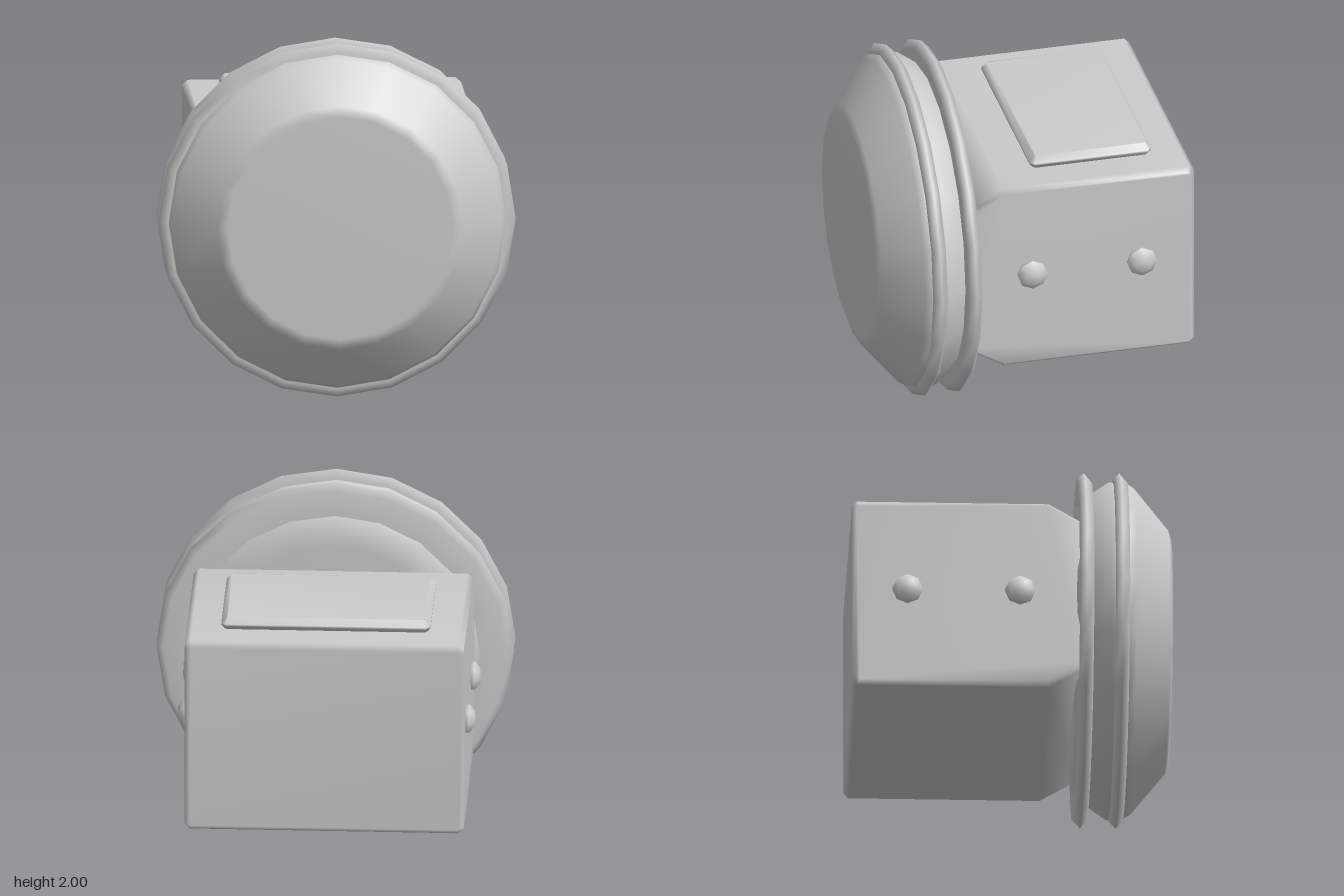
import * as THREE from 'three';
import { mergeVertices } from 'three/addons/utils/BufferGeometryUtils.js';

const SIDES = 20;
const CENTRE_Y = 1.0;

// Shares vertices so the narrow bevels shade softly into the large faces
function soften(geometry) {
  geometry.deleteAttribute('uv');
  geometry.deleteAttribute('normal');
  const merged = mergeVertices(geometry, 1e-4);
  merged.computeVertexNormals();
  return merged;
}

// Lathe from [radius, height] pairs
function lathe(points, sides) {
  return new THREE.LatheGeometry(points.map(([r, h]) => new THREE.Vector2(r, h)), sides);
}

// Extrusion with a single bevel that stays inside the given outline
function bevelled(points, depth, size, thickness) {
  const shape = new THREE.Shape(points.map(([x, y]) => new THREE.Vector2(x, y)));
  const geometry = new THREE.ExtrudeGeometry(shape, {
    depth: depth - 2 * thickness, bevelEnabled: true, bevelSegments: 1,
    bevelSize: size, bevelThickness: thickness, bevelOffset: -size,
  });
  geometry.translate(0, 0, thickness - depth / 2);
  return geometry;
}

export function createModel() {
  const group = new THREE.Group();
  const grey = new THREE.MeshStandardMaterial({ color: 0xcccccc });
  grey.name = 'light grey';

  const add = (name, geometry, x = 0, y = 0, z = 0) => {
    const mesh = new THREE.Mesh(geometry, grey);
    mesh.name = name;
    mesh.position.set(x, y, z);
    group.add(mesh);
    return mesh;
  };

  // Round head: back cap, flared waist and domed front
  const head = lathe([
    [0, 0.35], [0.64, 0.35], [0.8, 0.36], [0.88, 0.45], [0.95, 0.55],
    [0.95, 0.64], [0.92, 0.69], [0.69, 0.88], [0.63, 0.9], [0, 0.9],
  ], SIDES);
  head.rotateX(Math.PI / 2);
  add('roundHead', head, 0, CENTRE_Y, 0);

  // Two sharp rims around the head
  for (const [name, z] of [['backRim', 0.41], ['frontRim', 0.61]]) {
    const rim = lathe([
      [0.76, -0.035], [0.96, -0.04], [1, 0], [0.955, 0.04], [0.76, 0.035],
    ], SIDES);
    rim.rotateX(Math.PI / 2);
    add(name, rim, 0, CENTRE_Y, z);
  }

  // Box body, tapering above and below where it enters the head
  const c = 0.03;
  const body = bevelled([
    [-0.43, 0.56], [-0.2, 0.42], [0.9 - c, 0.42], [0.9, 0.42 + c],
    [0.9, 1.55 - c], [0.9 - c, 1.55], [-0.2, 1.55], [-0.43, 1.415],
  ], 1.56, 0.025, 0.03);
  body.rotateY(Math.PI / 2);
  add('boxBody', soften(body));

  // Raised plate on top of the body
  const w = 0.585, d = 0.35, k = 0.025;
  const plate = bevelled([
    [-w + k, -d], [w - k, -d], [w, -d + k], [w, d - k],
    [w - k, d], [-w + k, d], [-w, d - k], [-w, -d + k],
  ], 0.08, 0.03, 0.034);
  plate.rotateX(-Math.PI / 2);
  add('topPlate', soften(plate), 0, 1.58, -0.35);

  // Two domed bolts on each side
  for (const side of [-1, 1]) {
    for (const z of [0.04, -0.59]) {
      const bolt = lathe([[0.06, -0.03], [0.085, 0.0], [0.085, 0.02], [0.045, 0.05], [0, 0.052]], 8);
      bolt.rotateZ(-side * Math.PI / 2);
      add(side > 0 ? 'leftBolt' : 'rightBolt', bolt, side * 0.78, CENTRE_Y, z);
    }
  }
  return group;
}
